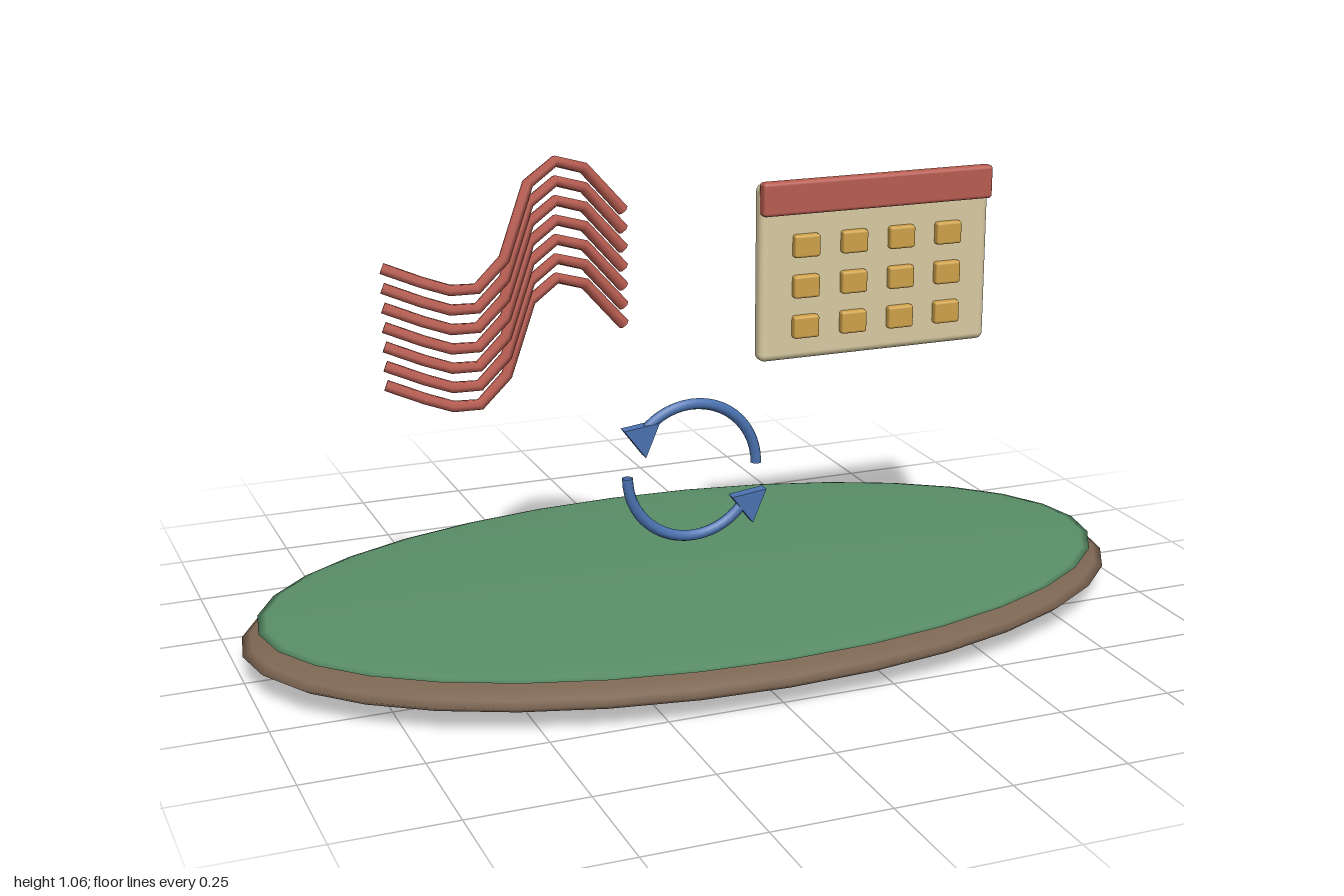
import * as THREE from 'three';
import { RoundedBoxGeometry } from 'three/addons/geometries/RoundedBoxGeometry.js';

const paint = (color, extra = {}) => new THREE.MeshStandardMaterial({ color, ...extra });
const GREEN = paint(0x5a8f68), BROWN = paint(0x7d6653), CREAM = paint(0xd9cba3), GOLD = paint(0xcfa24a);
const RED = paint(0xb85c50), WAVE_RED = paint(0xb85c50, { side: THREE.DoubleSide });
const BLUE = paint(0x4a72b0, { side: THREE.DoubleSide });
const BLUE_FLAT = paint(0x4a72b0, { flatShading: true });

function add(parent, name, geometry, material, x = 0, y = 0, z = 0) {
  const mesh = new THREE.Mesh(geometry, material);
  mesh.name = name;
  mesh.position.set(x, y, z);
  parent.add(mesh);
  return mesh;
}

function group(parent, name) {
  const g = new THREE.Group();
  g.name = name;
  parent.add(g);
  return g;
}

// Oval island: a flattened earth ellipsoid with a thinner grass one on top
function buildIsland(root) {
  const island = group(root, 'island');
  const disc = (rx, ry, rz) => new THREE.SphereGeometry(1, 32, 16).scale(rx, ry, rz);
  add(island, 'earth', disc(1, 0.059, 0.545), BROWN, 0, 0.059);
  add(island, 'grass', disc(0.965, 0.017, 0.525), GREEN, 0, 0.104);
}

// Calendar: rounded page, header strip and a grid of day tiles
function buildCalendar(root) {
  const calendar = group(root, 'calendar');
  const x = 0.425;
  add(calendar, 'page', new RoundedBoxGeometry(0.55, 0.392, 0.042, 3, 0.016), CREAM, x, 0.768);
  add(calendar, 'header', new RoundedBoxGeometry(0.55, 0.074, 0.03, 2, 0.008), RED, x, 0.935, 0.022);
  for (let row = 0; row < 3; row++) {
    for (let col = 0; col < 4; col++) {
      add(calendar, 'dayTile', new RoundedBoxGeometry(0.06, 0.05, 0.024, 2, 0.006), GOLD,
        x + (col - 1.5) * 0.114, 0.828 - row * 0.09, 0.026);
    }
  }
}

// Two half-circle arrows chasing each other
function buildCycle(root) {
  const cycle = group(root, 'cycleArrows');
  cycle.position.y = 0.341;
  const arc = new THREE.TorusGeometry(0.151, 0.0125, 8, 20, 2.45);
  const head = new THREE.CylinderGeometry(0.047, 0.047, 0.026, 3)
    .rotateX(Math.PI / 2).rotateZ(0.12);
  add(cycle, 'upperArc', arc, BLUE);
  add(cycle, 'lowerArc', arc, BLUE).rotation.z = Math.PI;
  add(cycle, 'upperArrowhead', head, BLUE_FLAT, -0.118, 0.092);
  add(cycle, 'lowerArrowhead', head, BLUE_FLAT, 0.134, -0.09);
}

// Seven stacked copies of one wavy strand
function buildWaves(root) {
  const waves = group(root, 'waves');
  const points = [
    [-0.675, 0.855, 0], [-0.6, 0.825, 0.025], [-0.545, 0.807, 0.042],
    [-0.49, 0.807, 0.048], [-0.43, 0.862, 0.042], [-0.37, 1.01, 0.022],
    [-0.305, 1.048, 0.002], [-0.24, 1.028, -0.005], [-0.155, 0.932, -0.002],
  ].map((p) => new THREE.Vector3(...p));
  const curve = new THREE.CatmullRomCurve3(points);
  // Step from point to point so the bends fall on the given points
  curve.getPointAt = (t, target) => curve.getPoint(t, target);
  curve.getTangentAt = (t, target) => curve.getTangent(t, target);
  const strand = new THREE.TubeGeometry(curve, points.length - 1, 0.0125, 6);
  for (let i = 0; i < 7; i++) add(waves, 'waveStrand', strand, WAVE_RED, 0, -0.041 * i);
}

export function createModel() {
  const root = new THREE.Group();
  root.name = 'islandWithSymbols';
  buildIsland(root);
  buildCalendar(root);
  buildCycle(root);
  buildWaves(root);
  return root;
}
